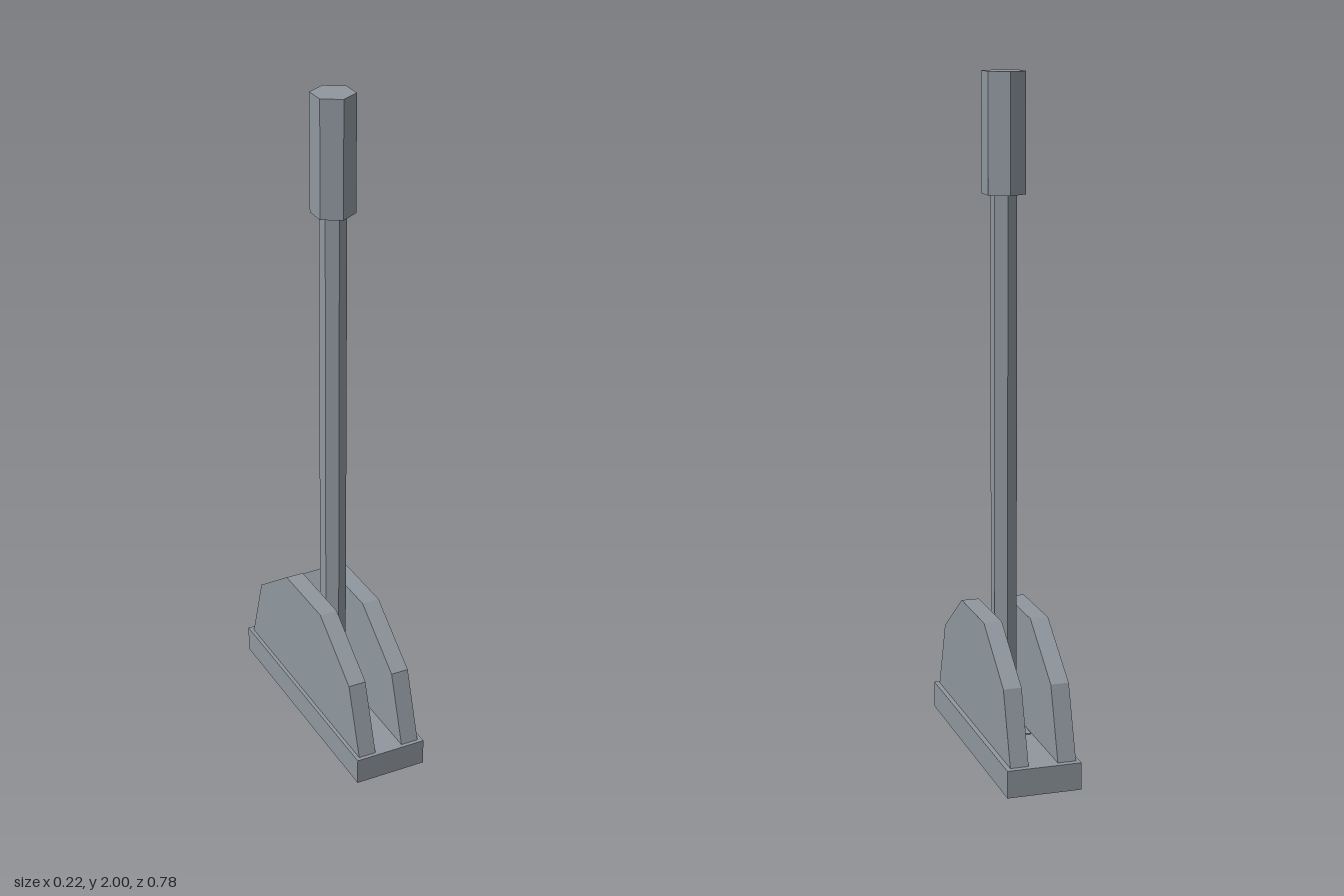
import * as THREE from 'three';

export function createModel() {
  const model = new THREE.Group();
  model.name = 'floorLever';
  const metal = new THREE.MeshStandardMaterial({ color: 0x8f979e, flatShading: true });
  metal.name = 'grey metal';

  function add(name, geometry, x, y, z) {
    const mesh = new THREE.Mesh(geometry, metal);
    mesh.name = name;
    mesh.position.set(x, y, z);
    model.add(mesh);
  }

  // Base slab and the thin pad under the lever
  add('base', new THREE.BoxGeometry(0.22, 0.081, 0.777), 0, 0.0405, 0);
  add('pivotPad', new THREE.BoxGeometry(0.08, 0.004, 0.273), -0.002, 0.082, 0.002);

  // Side plates: chamfered profile in z and y, extruded along x
  const profile = [
    [0.377, 0.08], [0.308, 0.292], [0.119, 0.429],
    [-0.114, 0.429], [-0.304, 0.292], [-0.371, 0.08],
  ].map(([z, y]) => new THREE.Vector2(z, y));
  const thickness = 0.054;
  const plate = new THREE.ExtrudeGeometry(new THREE.Shape(profile), {
    depth: thickness, bevelEnabled: false,
  });
  plate.rotateY(-Math.PI / 2);
  plate.translate(thickness / 2, 0, 0);
  add('leftPlate', plate, 0.069, 0, 0);
  add('rightPlate', plate, -0.072, 0, 0);

  // Six-sided lever shaft and grip
  function hexBar(name, radius, bottom, top) {
    const height = top - bottom;
    add(name, new THREE.CylinderGeometry(radius, radius, height, 6), -0.001, bottom + height / 2, 0.006);
  }
  hexBar('shaft', 0.039, 0.05, 1.66);
  hexBar('grip', 0.064, 1.655, 2);

  return model;
}
